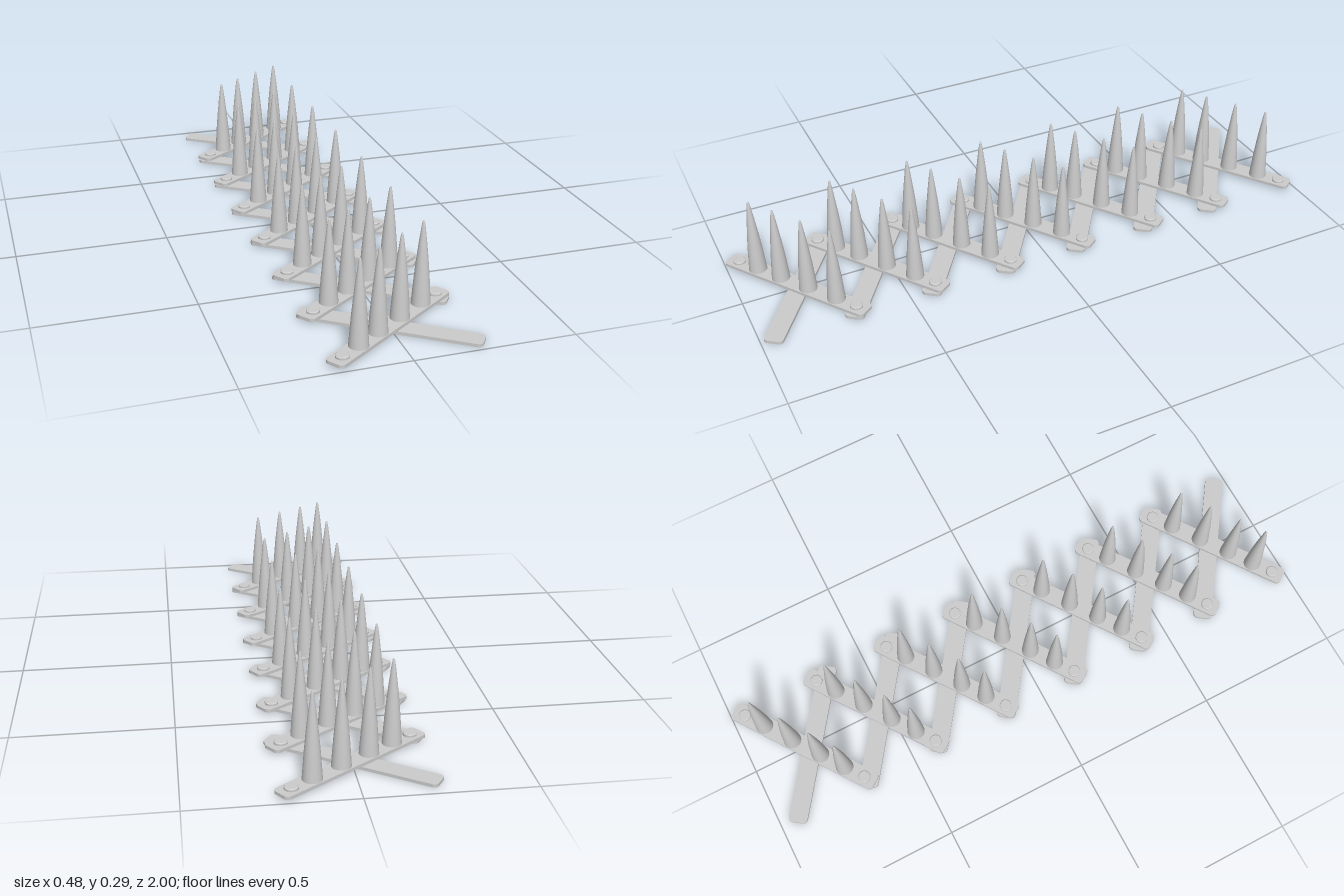
import * as THREE from 'three';

const ANGLE = 0.615;       // slant of the bars
const HALF = 0.28;         // half length of a bar
const HALF_W = 0.032;      // half width of a bar
const THICK = 0.01;

// Flat bar with rounded corners, lying along x with its underside on y = 0
function barGeometry() {
  const r = 0.015, a = HALF, b = HALF_W;
  const s = new THREE.Shape();
  s.moveTo(-a + r, -b);
  s.lineTo(a - r, -b);
  s.absarc(a - r, -b + r, r, -Math.PI / 2, 0);
  s.lineTo(a, b - r);
  s.absarc(a - r, b - r, r, 0, Math.PI / 2);
  s.lineTo(-a + r, b);
  s.absarc(-a + r, b - r, r, Math.PI / 2, Math.PI);
  s.lineTo(-a, -b + r);
  s.absarc(-a + r, -b + r, r, Math.PI, Math.PI * 1.5);
  const g = new THREE.ExtrudeGeometry(s, { depth: THICK, bevelEnabled: false, curveSegments: 4 });
  return g.rotateX(-Math.PI / 2);
}

function lathe(points, segments) {
  return new THREE.LatheGeometry(points.map(([x, y]) => new THREE.Vector2(x, y)), segments);
}

export function createModel() {
  const model = new THREE.Group();
  model.name = 'spikeStrip';
  const material = new THREE.MeshStandardMaterial({ color: 0xcccccc });
  const flat = new THREE.MeshStandardMaterial({ color: 0xcccccc, flatShading: true });

  const bar = barGeometry();
  // Tall, slightly bulging spike with a blunt tip
  const spike = lathe([[0.03, 0], [0.0275, 0.035], [0.0235, 0.09], [0.0185, 0.145],
    [0.0125, 0.2], [0.0065, 0.248], [0.0035, 0.267], [0.0015, 0.271], [0, 0.2715]], 24);
  // Low rivet head with a chamfered rim
  const rivet = lathe([[0.021, 0], [0.021, 0.006], [0.018, 0.0085], [0, 0.0085]], 16);

  const add = (parent, geometry, mat, name, x, y, z) => {
    const mesh = new THREE.Mesh(geometry, mat);
    mesh.name = name;
    mesh.position.set(x, y, z);
    parent.add(mesh);
    return mesh;
  };

  for (let i = 0; i < 7; i++) {
    // Lower bar of the lattice
    add(model, bar, material, 'lowerBar', 0, 0, -0.785 + i * 0.265).rotation.y = -ANGLE;

    // Upper bar carrying the spikes and rivets
    const upper = new THREE.Group();
    upper.name = 'upperBarAssembly';
    upper.position.set(0, THICK, (i - 3) * 0.272);
    upper.rotation.y = ANGLE;
    model.add(upper);
    add(upper, bar, material, 'upperBar', 0, 0, 0);
    for (const x of [-0.131, -0.053, 0.038, 0.13])
      add(upper, spike, material, 'spike', x / Math.cos(ANGLE), THICK, 0);
    for (const side of [-1, 1])
      add(upper, rivet, flat, 'rivet', side * 0.238, THICK, 0);
  }
  return model;
}
